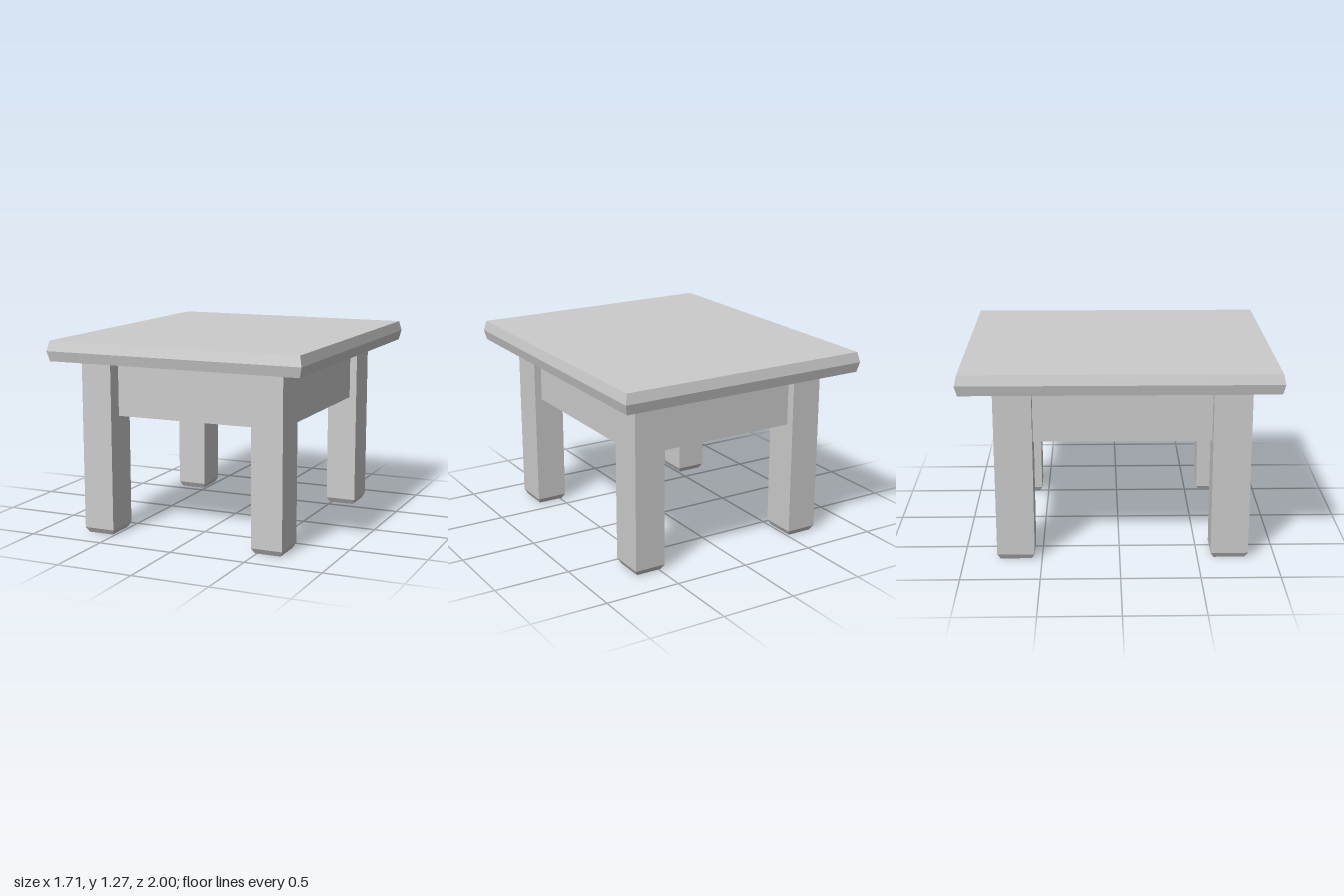
import * as THREE from 'three';

const material = new THREE.MeshStandardMaterial({ color: 0xcccccc, flatShading: true });

// Stacks box sections upward; each level is [y, inset in x, inset in z].
function steppedBlock(width, depth, levels) {
  const geometry = new THREE.BoxGeometry(width, 1, depth, 1, levels.length - 1, 1);
  const position = geometry.attributes.position;
  for (let i = 0; i < position.count; i++) {
    const [y, insetX, insetZ] = levels[Math.round((position.getY(i) + 0.5) * (levels.length - 1))];
    const x = position.getX(i), z = position.getZ(i);
    position.setXYZ(i, x - Math.sign(x) * insetX, y, z - Math.sign(z) * insetZ);
  }
  geometry.computeVertexNormals();
  return geometry;
}

export function createModel() {
  const group = new THREE.Group();
  const add = (name, geometry, x, y, z) => {
    const mesh = new THREE.Mesh(geometry, material);
    mesh.name = name;
    mesh.position.set(x, y, z);
    group.add(mesh);
  };

  const underside = 1.142;

  // Table top with edges that bulge to a ridge at mid height
  add('tableTop', steppedBlock(1.714, 2, [
    [underside, 0.015, 0.015], [1.207, 0, 0], [1.273, 0.015, 0.015],
  ]), 0, 0, 0);

  // Four square legs with tapered feet, set slightly off centre under the top
  const legX = { left: 0.572, right: -0.604 };
  const legZ = { front: 0.705, back: -0.667 };
  const legWidth = 0.207, legDepth = 0.241;
  const leg = steppedBlock(legWidth, legDepth, [[0, 0.018, 0.021], [0.035, 0, 0], [underside, 0, 0]]);
  for (const [end, z] of Object.entries(legZ)) {
    for (const [side, x] of Object.entries(legX)) {
      add(`${end}${side === 'left' ? 'Left' : 'Right'}Leg`, leg, x, 0, z);
    }
  }

  // Thin apron boards spanning the gaps between the legs
  const apronBottom = 0.774, apronHeight = underside - apronBottom, thickness = 0.06;
  const midX = (legX.left + legX.right) / 2, midZ = (legZ.front + legZ.back) / 2;
  const apronY = apronBottom + apronHeight / 2;
  const crossBoard = new THREE.BoxGeometry(legX.left - legX.right - legWidth, apronHeight, thickness);
  const sideBoard = new THREE.BoxGeometry(thickness, apronHeight, legZ.front - legZ.back - legDepth);
  add('frontApron', crossBoard, midX, apronY, 0.696);
  add('backApron', crossBoard, midX, apronY, -0.7);
  add('leftApron', sideBoard, 0.597, apronY, midZ);
  add('rightApron', sideBoard, -0.599, apronY, midZ);

  return group;
}
